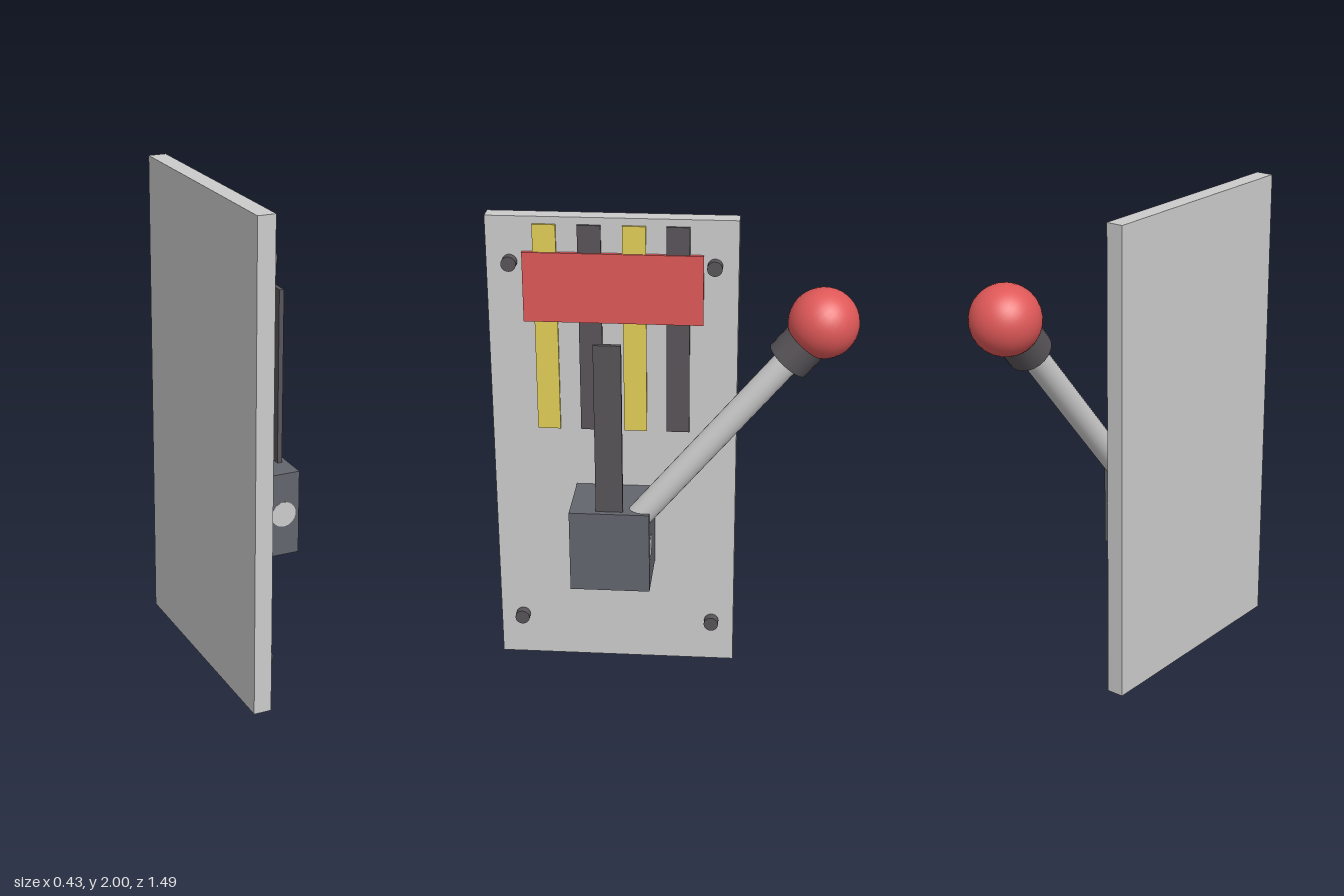
import * as THREE from 'three';

export function createModel() {
  const model = new THREE.Group();
  model.name = 'wallLever';

  const paint = (color) => new THREE.MeshStandardMaterial({ color });
  const grey = paint(0xcccccc);
  const red = paint(0xdf5858);
  const yellow = paint(0xe3d057);
  const dark = paint(0x585459);
  const housingGrey = paint(0x63656d);

  const add = (name, geometry, material, parent = model) => {
    const mesh = new THREE.Mesh(geometry, material);
    mesh.name = name;
    parent.add(mesh);
    return mesh;
  };
  // Box given by its lower and upper corner
  const addBox = (name, material, [x0, y0, z0], [x1, y1, z1]) =>
    add(name, new THREE.BoxGeometry(x1 - x0, y1 - y0, z1 - z0), material)
      .position.set((x0 + x1) / 2, (y0 + y1) / 2, (z0 + z1) / 2);

  const face = -0.142; // front surface of the mounting plate

  // Mounting plate and its corner bolts
  addBox('mountingPlate', grey, [-0.215, 0, -0.265], [face, 2, 0.75]);
  for (const y of [0.19, 1.81]) {
    for (const z of [-0.17, 0.655]) {
      const bolt = add('bolt', new THREE.CylinderGeometry(0.031, 0.031, 0.045, 20), dark);
      bolt.rotation.z = Math.PI / 2;
      bolt.position.set(-0.127, y, z);
    }
  }

  // Alternating warning stripes behind the red sign panel
  [0.513, 0.333, 0.153, -0.023].forEach((z, i) => {
    addBox('stripe', i % 2 ? dark : yellow, [face - 0.01, 1.09, z - 0.047], [-0.131, 1.97, z + 0.047]);
  });
  addBox('signPanel', red, [face - 0.01, 1.563, -0.125], [-0.125, 1.855, 0.604]);

  // Housing, upright guide bar and pivot pin
  addBox('housing', housingGrey, [face, 0.48, 0.075], [0.14, 0.833, 0.405]);
  addBox('guideBar', dark, [0.096, 0.66, 0.185], [0.116, 1.56, 0.296]);
  const pin = add('pivotPin', new THREE.CylinderGeometry(0.053, 0.053, 0.332, 24), grey);
  pin.rotation.x = Math.PI / 2;
  pin.position.set(0.073, 0.657, 0.24);

  // Lever, modelled upright from its pivot and tilted backwards
  const lever = new THREE.Group();
  lever.name = 'lever';
  lever.position.set(0.073, 0.657, 0.24);
  lever.rotation.x = -Math.atan2(0.844, 1.007);
  model.add(lever);
  const reach = 1.314;
  add('leverRod', new THREE.CylinderGeometry(0.053, 0.053, reach - 0.1, 24), grey, lever)
    .position.y = (reach - 0.1) / 2;
  add('collar', new THREE.CylinderGeometry(0.092, 0.092, 0.13, 24), dark, lever)
    .position.y = reach - 0.145;
  add('knob', new THREE.SphereGeometry(0.14, 32, 20), red, lever).position.y = reach;

  return model;
}
